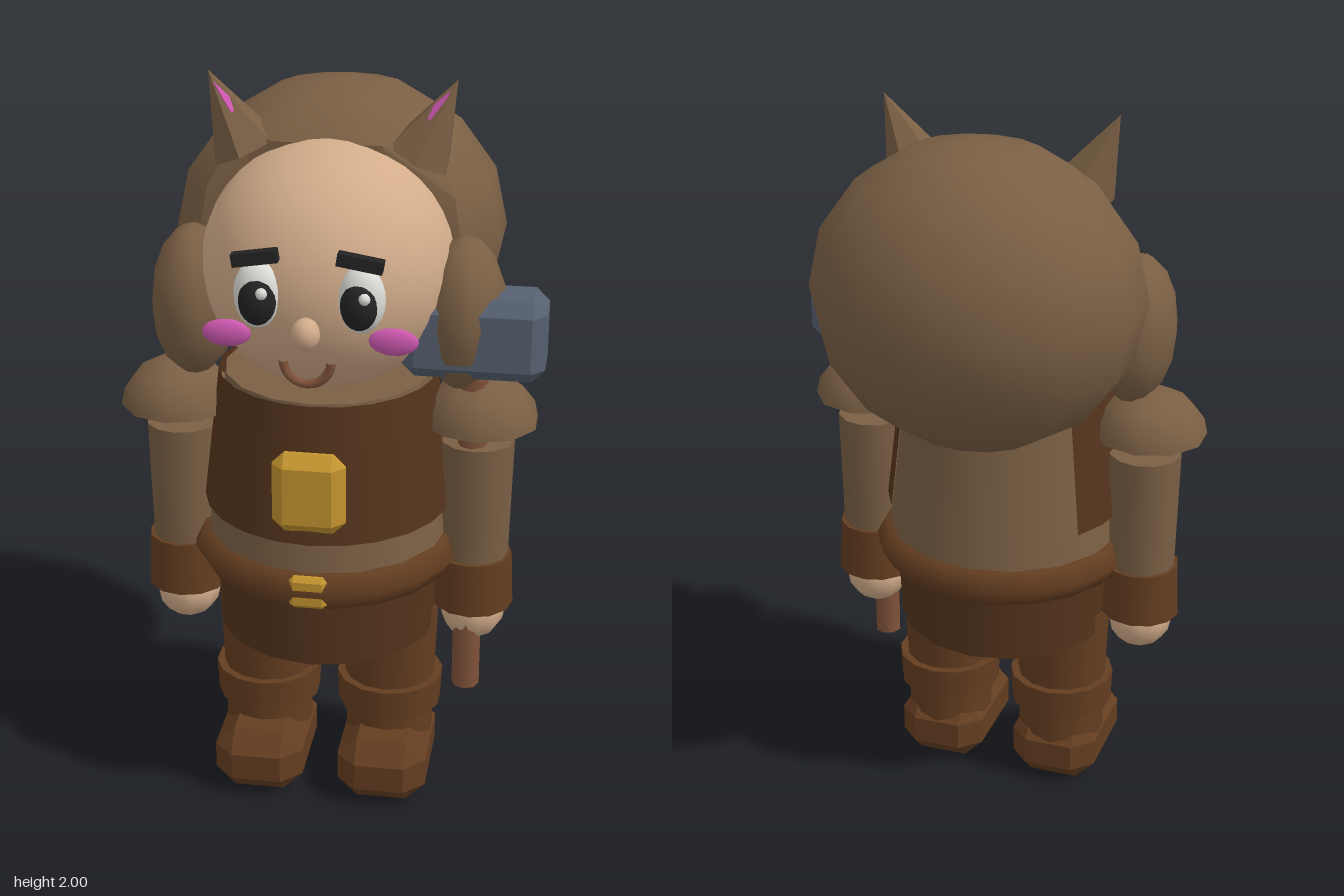
import * as THREE from 'three';
import { ConvexGeometry } from 'three/addons/geometries/ConvexGeometry.js';
import { toCreasedNormals } from 'three/addons/utils/BufferGeometryUtils.js';

const mat = (name, color) => Object.assign(new THREE.MeshStandardMaterial({ color }), { name });

export function createModel() {
  const skin = mat('skin', 0xd2ac8a);
  const fur = mat('furBrown', 0x7a5f44);
  const leather = mat('darkLeather', 0x54341c);
  const boot = mat('bootLeather', 0x633d20);
  const gold = mat('gold', 0xc4942f);
  const steel = mat('steel', 0x56606f);
  const pink = mat('pink', 0xcf59b2);
  const wood = mat('wood', 0x80523a);
  const white = mat('eyeWhite', 0xdcdcd8);
  const black = mat('black', 0x232323);
  leather.side = THREE.DoubleSide;

  const root = new THREE.Group();
  root.name = 'character';
  const body = new THREE.Group();
  body.name = 'body';
  body.position.x = -0.005;
  root.add(body);

  const add = (name, geo, material, x, y, z) => {
    const m = new THREE.Mesh(geo, material);
    m.name = name;
    m.position.set(x, y, z);
    body.add(m);
    return m;
  };
  const ball = (rx, ry, rz, w = 12, h = 8) => new THREE.SphereGeometry(1, w, h).scale(rx, ry, rz);
  const tube = (rTop, rBottom, h, n = 14) => new THREE.CylinderGeometry(rTop, rBottom, h, n);
  // Box with every edge cut off at 45 degrees
  const chamferBox = (w, h, d, c) => {
    const pts = [];
    for (const sx of [-1, 1]) for (const sy of [-1, 1]) for (const sz of [-1, 1]) {
      const x = w / 2, y = h / 2, z = d / 2;
      for (const p of [[x, y - c, z - c], [x - c, y, z - c], [x - c, y - c, z]]) {
        pts.push(new THREE.Vector3(p[0] * sx, p[1] * sy, p[2] * sz));
      }
    }
    return new ConvexGeometry(pts);
  };

  // Head, with the hood of hair flattened where it meets the face
  add('head', ball(0.33, 0.325, 0.33, 32, 20), skin, 0, 1.52, 0.1);
  const hair = ball(1, 1, 1, 14, 8).rotateY(Math.PI / 2).scale(0.447, 0.413, 0.377);
  const hp = hair.attributes.position;
  for (let i = 0; i < hp.count; i++) hp.setZ(i, Math.min(hp.getZ(i), 0.24));
  add('hair', toCreasedNormals(hair, 0.7), fur, 0, 1.542, -0.132);

  // Face centre
  add('nose', ball(0.037, 0.042, 0.038), skin, 0, 1.455, 0.462);
  const smile = new THREE.TorusGeometry(0.06, 0.012, 6, 12, Math.PI).rotateZ(Math.PI);
  add('mouth', smile, wood, 0, 1.375, 0.44);

  // Torso, chest plate, belt and tunic skirt
  add('torso', tube(0.275, 0.335, 0.5, 16), fur, 0, 0.985, 0.11);
  const plate = new THREE.CylinderGeometry(0.29, 0.335, 0.37, 16, 1, true, -0.7 * Math.PI, 1.4 * Math.PI);
  add('chestPlate', plate, leather, 0, 1.05, 0.11);
  add('chestBadge', chamferBox(0.19, 0.22, 0.075, 0.032), gold, 0, 1.01, 0.43);
  add('belt', new THREE.TorusGeometry(0.312, 0.056, 6, 18).rotateX(Math.PI / 2), boot, 0, 0.733, 0.11);
  add('buckle', chamferBox(0.1, 0.09, 0.05, 0.012), gold, 0, 0.733, 0.442);
  add('skirt', tube(0.31, 0.3, 0.22, 16), leather, 0, 0.6, 0.11);

  const domeProfile = [[0, 0], [0.155, 0], [0.145, 0.045], [0.11, 0.09], [0.06, 0.118], [0, 0.127]]
    .map(([x, y]) => new THREE.Vector2(x, y));

  for (const s of [-1, 1]) {
    const side = s > 0 ? 'left' : 'right';

    // Face details
    add(side + 'Eye', ball(0.06, 0.088, 0.045, 16, 12), white, s * 0.13, 1.532, 0.403);
    add(side + 'Pupil', ball(0.048, 0.063, 0.04, 16, 12), black, s * 0.127, 1.522, 0.424);
    add(side + 'Glint', ball(0.015, 0.015, 0.015, 8, 6), white, s * 0.127 + 0.018, 1.553, 0.46);
    add(side + 'Brow', new THREE.BoxGeometry(0.115, 0.032, 0.03), black, s * 0.13, 1.635, 0.427)
      .rotation.z = -s * 0.16;
    add(side + 'Cheek', ball(0.063, 0.036, 0.018, 14, 8), pink, s * 0.21, 1.425, 0.403);

    // Pointed ears and hair puffs
    const ear = toCreasedNormals(new THREE.ConeGeometry(0.092, 0.225, 6), 0.4);
    add(side + 'Ear', ear, fur, s * 0.272, 1.895, 0.045).rotation.z = -s * 0.44;
    const inner = toCreasedNormals(new THREE.ConeGeometry(0.022, 0.09, 4), 0.4);
    add(side + 'InnerEar', inner, pink, s * 0.278, 1.935, 0.063).rotation.z = -s * 0.6;
    add(side + 'HairPuff', ball(0.115, 0.205, 0.158, 10, 8), fur, s * 0.355, 1.403, 0.115);

    // Arms
    const dome = toCreasedNormals(new THREE.LatheGeometry(domeProfile, 10), 0.8);
    add(side + 'ShoulderPad', dome, fur, s * 0.408, 1.105, 0.115);
    add(side + 'Arm', tube(0.1, 0.09, 0.45, 12), fur, s * 0.4, 0.825, 0.108);
    add(side + 'WristCuff', tube(0.103, 0.11, 0.15, 12), boot, s * 0.4, 0.637, 0.108);
    add(side + 'Hand', ball(0.09, 0.09, 0.09, 10, 8), skin, s * 0.4, 0.54, 0.108);

    // Legs and boots
    add(side + 'Leg', tube(0.135, 0.125, 0.25), boot, s * 0.173, 0.42, 0.105);
    add(side + 'BootCuff', tube(0.148, 0.144, 0.09), boot, s * 0.173, 0.275, 0.105);
    add(side + 'BootShaft', tube(0.122, 0.122, 0.12), boot, s * 0.173, 0.19, 0.105);
    add(side + 'Shoe', chamferBox(0.247, 0.187, 0.355, 0.055), boot, s * 0.173, 0.0935, 0.157);
  }

  // Hammer held upright in the left hand
  add('hammerHandle', tube(0.038, 0.038, 1.05, 8), wood, 0.39, 0.845, 0.152);
  add('hammerHead', chamferBox(0.37, 0.218, 0.185, 0.035), steel, 0.39, 1.367, 0.152);

  return root;
}
